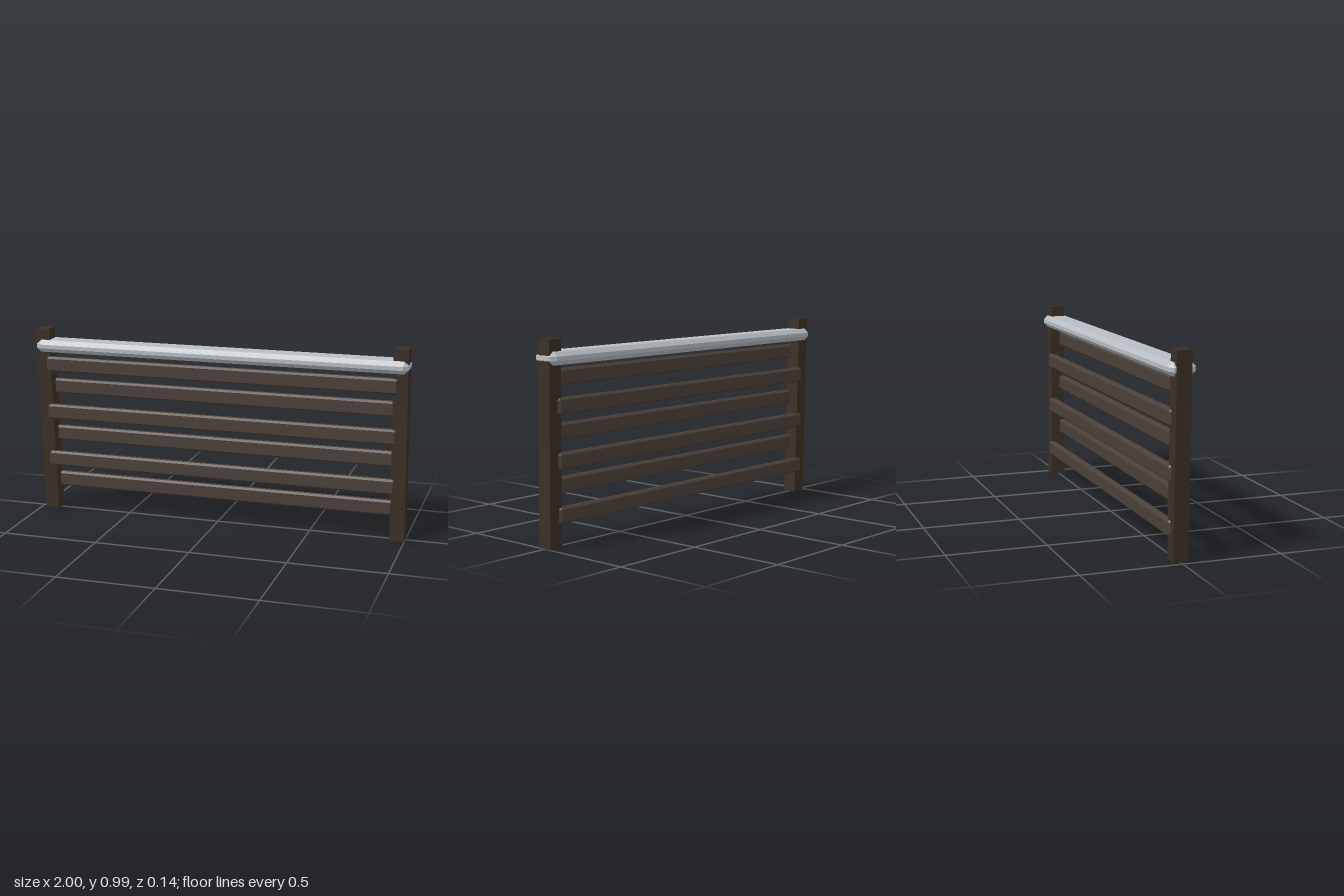
import * as THREE from 'three';
import { ConvexGeometry } from 'three/addons/geometries/ConvexGeometry.js';

const postWood = new THREE.MeshStandardMaterial({ name: 'dark post wood', color: 0x3a3025 });
const slatWood = new THREE.MeshStandardMaterial({ name: 'brown slat wood', color: 0x4b4039 });
const railMetal = new THREE.MeshStandardMaterial({ name: 'pale grey metal', color: 0xb8bec4 });

// Box with every edge chamfered; h = half sizes, b = chamfer along each axis
function chamferedBar(h, b) {
  const points = [];
  for (let axis = 0; axis < 3; axis++) {
    for (const sx of [-1, 1]) for (const sy of [-1, 1]) for (const sz of [-1, 1]) {
      const p = [sx, sy, sz].map((s, i) => s * (i === axis ? h[i] : h[i] - b[i]));
      points.push(new THREE.Vector3(...p));
    }
  }
  return new ConvexGeometry(points);
}

// Square post leaning sideways, from bottomX at the ground to topX at the top
function post(name, bottomX, topX) {
  const height = 0.993;
  const geometry = new THREE.BoxGeometry(0.075, height, 0.076);
  geometry.translate(0, height / 2, 0);
  const pos = geometry.attributes.position;
  for (let i = 0; i < pos.count; i++) {
    pos.setX(i, pos.getX(i) + THREE.MathUtils.lerp(bottomX, topX, pos.getY(i) / height));
  }
  geometry.computeVertexNormals();
  const mesh = new THREE.Mesh(geometry, postWood);
  mesh.name = name;
  return mesh;
}

export function createModel() {
  const fence = new THREE.Group();
  fence.name = 'fence';

  fence.add(post('rightPost', -0.937, -0.962), post('leftPost', 0.962, 0.951));

  // Slats alternate between the front and back of the posts
  const slatGeometry = chamferedBar([0.942, 0.04, 0.02], [0.01, 0.01, 0.011]);
  for (let i = 0; i < 6; i++) {
    const front = i % 2 === 1;
    const slat = new THREE.Mesh(slatGeometry, slatWood);
    slat.name = (front ? 'frontSlat' : 'backSlat') + (Math.floor(i / 2) + 1);
    slat.position.set(0, 0.155 + i * 0.13, front ? 0.03 : -0.03);
    fence.add(slat);
  }

  // Metal rail running through both posts
  const rail = new THREE.Mesh(chamferedBar([0.993, 0.032, 0.068], [0.026, 0.022, 0.021]), railMetal);
  rail.name = 'topRail';
  rail.position.y = 0.903;
  fence.add(rail);

  return fence;
}
